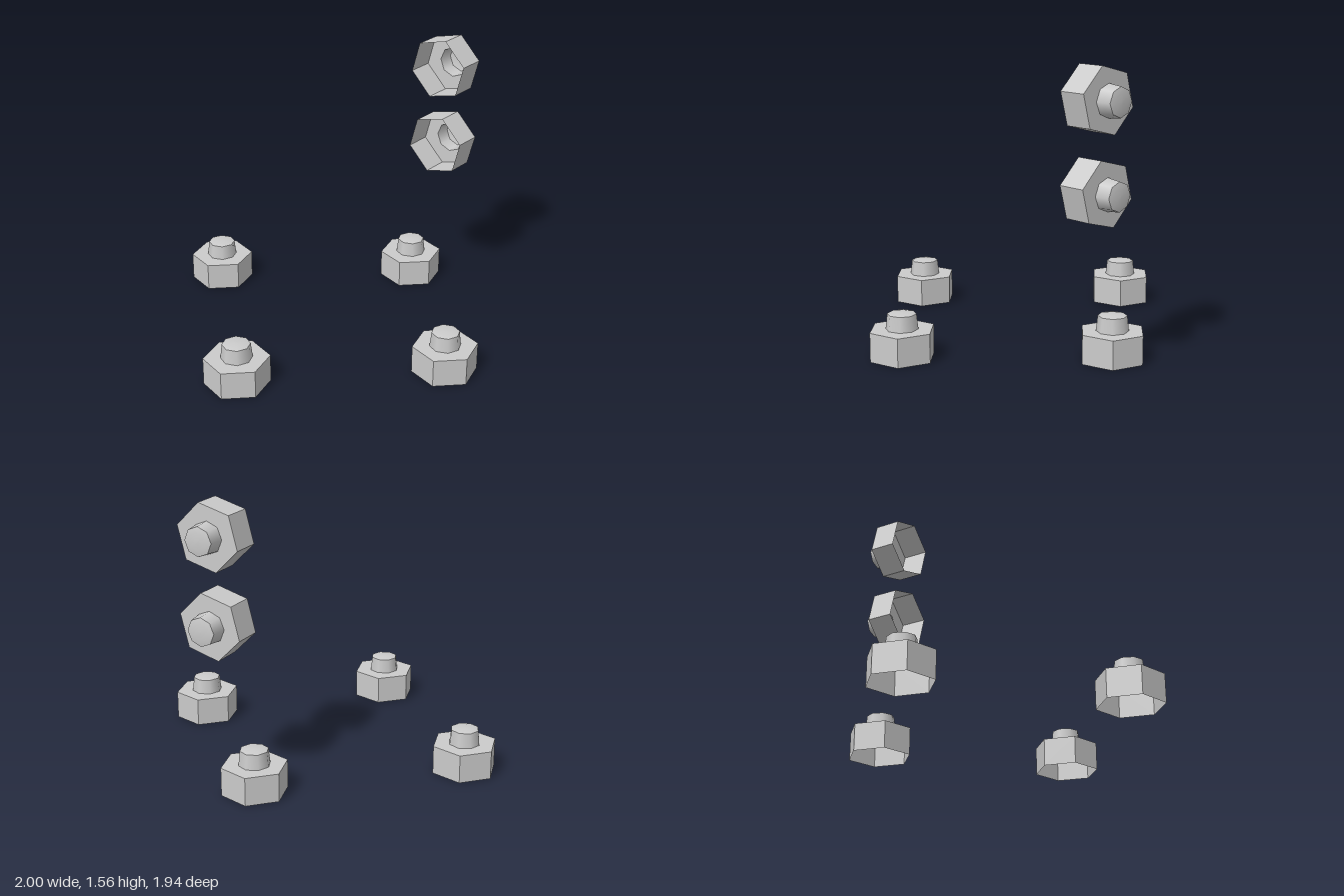
import * as THREE from 'three';

const HEX_R = 0.18, BODY_H = 0.157, STUD_R = 0.086, TILT = Math.PI / 12;

function ringPoints(radius, sides, start) {
  return Array.from({ length: sides }, (_, i) => {
    const a = start + (i / sides) * Math.PI * 2;
    return new THREE.Vector2(radius * Math.cos(a), radius * Math.sin(a));
  });
}

export function createModel() {
  const model = new THREE.Group();
  model.name = 'hexStuds';
  const flat = new THREE.MeshStandardMaterial({ color: 0xcccccc, flatShading: true, side: THREE.DoubleSide });
  const smooth = new THREE.MeshStandardMaterial({ color: 0xcccccc, side: THREE.DoubleSide });

  // Hexagonal wall, open underneath
  const wallGeo = new THREE.CylinderGeometry(HEX_R, HEX_R, BODY_H, 6, 1, true, TILT);
  wallGeo.translate(0, BODY_H / 2, 0);

  // Top plate, open into the hollow stud
  const plateShape = new THREE.Shape(ringPoints(HEX_R, 6, -TILT));
  plateShape.holes.push(new THREE.Path(ringPoints(STUD_R, 8, 0)));
  const plateGeo = new THREE.ShapeGeometry(plateShape);
  plateGeo.rotateX(-Math.PI / 2).translate(0, BODY_H, 0);

  // Tapered eight-sided stud and its slightly domed cap
  const lathe = pts => new THREE.LatheGeometry(pts.map(p => new THREE.Vector2(...p)), 8);
  const studGeo = lathe([[STUD_R, BODY_H], [0.081, 0.2], [0.077, 0.239]]);
  const capGeo = lathe([[0.077, 0.239], [0.045, 0.246], [0, 0.247]]);

  function addNut(name, x, y, z, tilt = 0) {
    const nut = new THREE.Group();
    nut.name = name;
    const parts = [['hexWall', wallGeo, flat], ['topPlate', plateGeo, flat],
      ['stud', studGeo, smooth], ['studCap', capGeo, smooth]];
    for (const [part, geo, mat] of parts) {
      const mesh = new THREE.Mesh(geo, mat);
      mesh.name = part;
      nut.add(mesh);
    }
    nut.position.set(x, y, z);
    nut.rotation.x = tilt;
    model.add(nut);
  }

  // Four standing on the ground
  addNut('frontNut', 0.04, 0, 0.796);
  addNut('backNut', 0.04, 0, -0.767);
  addNut('leftNut', 0.826, 0, -0.005);
  addNut('rightNut', -0.826, 0, -0.005);

  // Two raised, with studs pointing backwards
  addNut('lowerRaisedNut', 0.214, 0.918, -0.728, -Math.PI / 2);
  addNut('upperRaisedNut', 0.214, 1.383, -0.728, -Math.PI / 2);
  return model;
}
